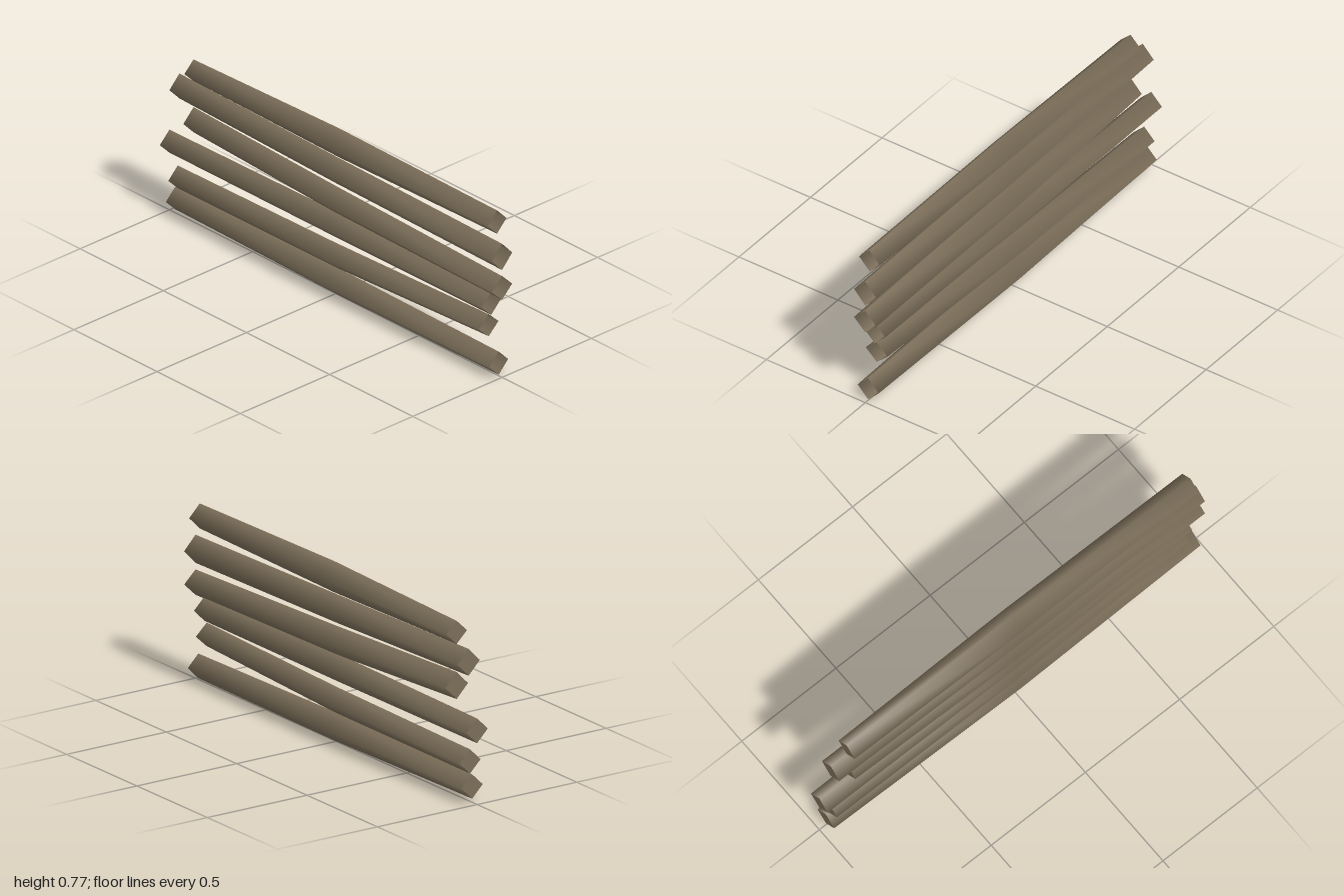
import * as THREE from 'three';

// Per log: three stations front to back, each [z, bottom y, top y, half width]
const LOGS = [
  [[0.98, 0.005, 0.112, 0.053], [0.01, 0, 0.125, 0.067], [-0.965, 0.016, 0.121, 0.053]],
  [[0.92, 0.16, 0.262, 0.055], [0, 0.122, 0.236, 0.06], [-0.95, 0.12, 0.225, 0.053]],
  [[0.935, 0.265, 0.372, 0.054], [0, 0.262, 0.382, 0.06], [-1, 0.265, 0.372, 0.054]],
  [[1, 0.36, 0.47, 0.057], [0, 0.375, 0.5, 0.064], [-0.855, 0.416, 0.533, 0.057]],
  [[1, 0.498, 0.62, 0.057], [0, 0.513, 0.637, 0.06], [-0.94, 0.54, 0.656, 0.056]],
  [[0.97, 0.655, 0.763, 0.053], [0.02, 0.64, 0.775, 0.061], [-0.855, 0.654, 0.754, 0.052]],
];

// Diamond cross-section: right, top, left, bottom
const ring = ([z, y0, y1, w]) => {
  const y = (y0 + y1) / 2;
  return [w, y, z, 0, y1, z, -w, y, z, 0, y0, z];
};

function surface(positions, index) {
  const g = new THREE.BufferGeometry();
  g.setAttribute('position', new THREE.Float32BufferAttribute(positions, 3));
  g.setIndex(index);
  g.computeVertexNormals();
  return g;
}

export function createModel() {
  const model = new THREE.Group();
  model.name = 'logWall';
  const wood = new THREE.MeshStandardMaterial({ color: 0x7a6d58, side: THREE.DoubleSide });
  wood.name = 'weathered wood';

  LOGS.forEach((stations, i) => {
    const log = new THREE.Group();
    log.name = `log${i + 1}`;

    // Smooth four-sided bark, open at the front
    const index = [];
    for (let s = 0; s < stations.length - 1; s++) {
      for (let k = 0; k < 4; k++) {
        const a = s * 4 + k, b = s * 4 + (k + 1) % 4;
        index.push(a, a + 4, b, b, a + 4, b + 4);
      }
    }
    const bark = new THREE.Mesh(surface(stations.flatMap(ring), index), wood);
    bark.name = 'bark';

    // Flat cap closing the back end
    const cap = new THREE.Mesh(surface(ring(stations[2]), [0, 2, 1, 0, 3, 2]), wood);
    cap.name = 'backCap';

    log.add(bark, cap);
    model.add(log);
  });
  return model;
}
